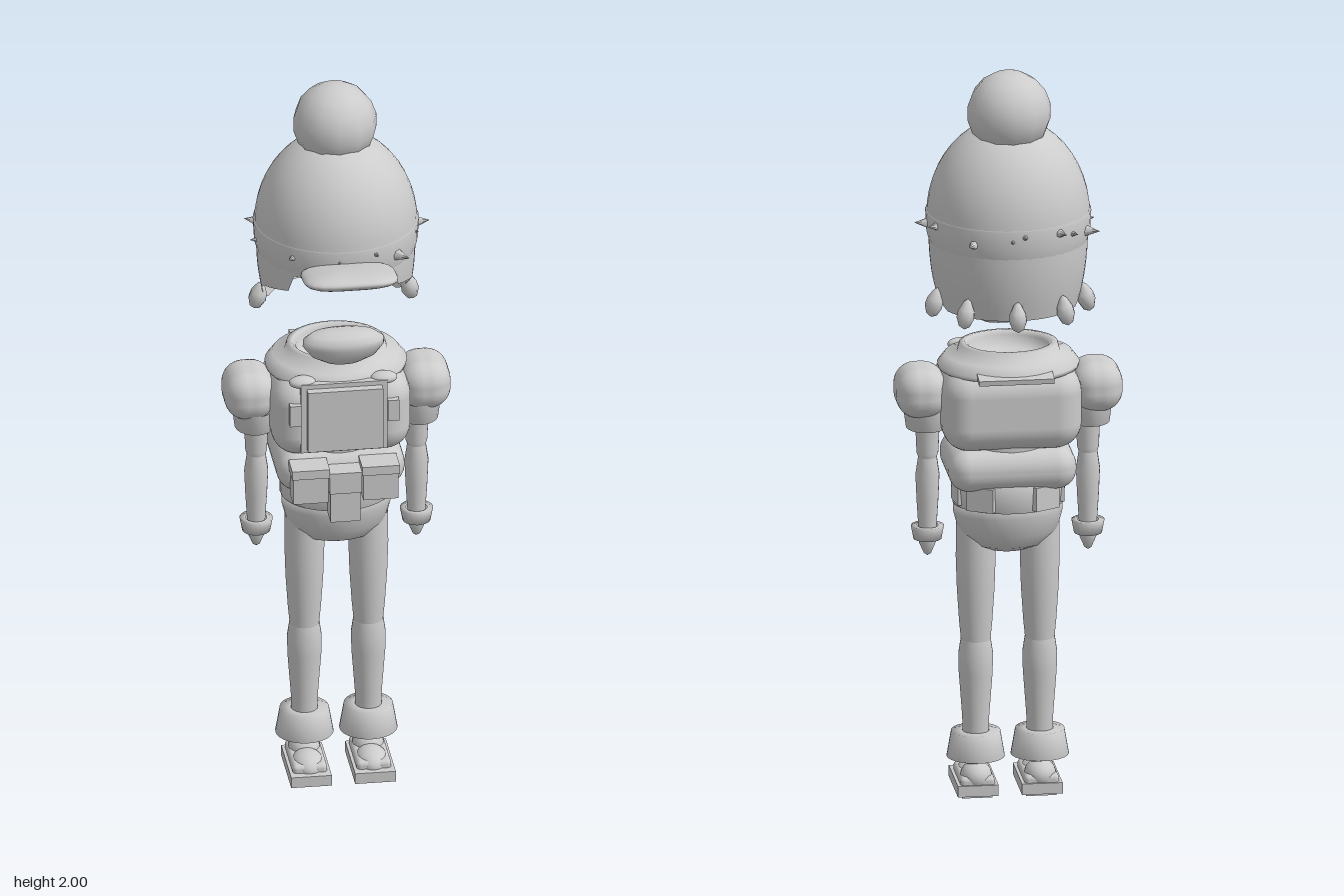
import * as THREE from 'three';
import { RoundedBoxGeometry } from 'three/addons/geometries/RoundedBoxGeometry.js';

const grey = new THREE.MeshStandardMaterial({ color: 0xcccccc, side: THREE.DoubleSide });
grey.name = 'light grey';

function add(parent, name, geometry, x = 0, y = 0, z = 0) {
  const mesh = new THREE.Mesh(geometry, grey);
  mesh.name = name;
  mesh.position.set(x, y, z);
  parent.add(mesh);
  return mesh;
}

// Turned solid from [radius, height] pairs, squashed in depth
function turned(points, depth = 1, sides = 32) {
  const profile = points.map(([r, y]) => new THREE.Vector2(r, y));
  return new THREE.LatheGeometry(profile, sides).scale(1, 1, depth);
}

const box = (w, h, d) => new THREE.BoxGeometry(w, h, d);
const rounded = (w, h, d, r) => new RoundedBoxGeometry(w, h, d, 4, r);
const ball = (rx, ry, rz, n = 20) => new THREE.SphereGeometry(1, n, Math.ceil(n * 0.7)).scale(rx, ry, rz);

// Ear and neck flap: open shell whose lower edge drops towards the back
function flapGeometry() {
  const cols = 64, rows = 6, pos = [], index = [];
  const edge = (z) => {
    if (z > 0.09) return 1.53;
    if (z > -0.02) return 1.45 + (z + 0.02) * 0.3;
    return Math.max(1.36, 1.45 + (z + 0.02) * 0.82);
  };
  for (let i = 0; i <= cols; i++) {
    const a = (i / cols) * Math.PI * 2;
    const low = edge(-0.062 + 0.2 * Math.cos(a));
    for (let j = 0; j <= rows; j++) {
      const y = 1.55 + (low - 1.55) * (j / rows);
      const r = 0.21 - 0.75 * (1.55 - y) ** 2;
      pos.push(r * Math.sin(a), y, -0.062 + r * 0.97 * Math.cos(a));
    }
  }
  for (let i = 0; i < cols; i++) for (let j = 0; j < rows; j++) {
    const a = i * (rows + 1) + j, b = a + rows + 1;
    index.push(a, a + 1, b, b, a + 1, b + 1);
  }
  const g = new THREE.BufferGeometry();
  g.setAttribute('position', new THREE.Float32BufferAttribute(pos, 3));
  g.setIndex(index);
  g.computeVertexNormals();
  return g;
}

function buildHat(root) {
  const hat = new THREE.Group();
  hat.name = 'hat';
  root.add(hat);
  const dome = [];
  for (let i = 0; i <= 12; i++) {
    const t = (i / 12) * Math.PI / 2;
    dome.push([0.216 * Math.cos(t), 1.6 + 0.262 * Math.sin(t)]);
  }
  add(hat, 'hatDome', turned(dome, 0.97, 40), 0, 0, -0.062);
  add(hat, 'hatBand', turned([[0.208, 1.53], [0.216, 1.56], [0.219, 1.615], [0.21, 1.62]], 0.97, 40), 0, 0, -0.062);
  add(hat, 'neckFlap', flapGeometry());
  add(hat, 'pompom', ball(0.112, 0.112, 0.112, 12), 0, 1.888, -0.08);

  // Peak with a rounded-square outline
  const peak = ball(0.125, 0.026, 0.1, 32);
  const p = peak.attributes.position;
  for (let i = 0; i < p.count; i++) {
    const u = p.getX(i) / 0.125, v = p.getZ(i) / 0.1, r = Math.hypot(u, v);
    if (r < 1e-5) continue;
    const k = r / Math.pow(u ** 4 + v ** 4, 0.25);
    p.setX(i, p.getX(i) * k);
    p.setZ(i, p.getZ(i) * k);
  }
  peak.computeVertexNormals();
  add(hat, 'peak', peak, 0, 1.57, 0.195).rotation.x = -0.2;

  // Small tufts sticking out around the band
  const tufts = [[-0.02, -0.29], [0.015, -0.285], [0.13, -0.265], [-0.13, -0.265], [-0.165, -0.225],
    [-0.23, -0.165], [0.225, -0.15], [0.25, -0.065], [-0.232, -0.04], [0.21, 0.02],
    [-0.15, 0.115], [0.17, 0.125], [0.085, 0.148], [-0.02, 0.156]];
  tufts.forEach(([x, z], i) => {
    const out = new THREE.Vector3(x, 0.01, z + 0.062).normalize();
    const m = add(hat, 'bandTuft', new THREE.ConeGeometry(0.022, 0.055, 7).translate(0, -0.0275, 0),
      x, 1.6 - (i % 3) * 0.012, z);
    m.quaternion.setFromUnitVectors(new THREE.Vector3(0, 1, 0), out);
  });

  // Larger tufts hanging along the lower back edge
  for (const deg of [-78, -40, 0, 40, 78]) {
    const a = THREE.MathUtils.degToRad(deg);
    const tuft = turned([[0, -0.042], [0.015, -0.034], [0.024, -0.012], [0.022, 0.008], [0.01, 0.032], [0, 0.04]], 1, 9);
    const m = add(hat, 'lowerTuft', tuft, 0.205 * Math.sin(a), 1.38, -0.062 - 0.205 * Math.cos(a));
    m.rotation.set(0.25, -a, 0, 'YXZ');
  }
}

function buildTorso(root) {
  add(root, 'chinGuard', turned([[0, -0.048], [0.045, -0.042], [0.085, -0.022], [0.108, 0.008],
    [0.107, 0.025], [0.085, 0.041], [0.045, 0.048], [0, 0.049]], 0.47, 28), 0, 1.305, 0.08);
  add(root, 'chest', rounded(0.37, 0.225, 0.3, 0.07), 0, 1.09, -0.054);
  // Neck ring and its flange
  add(root, 'collar', turned([[0, 1.2], [0.1, 1.205], [0.105, 1.24], [0.115, 1.252], [0.13, 1.25],
    [0.137, 1.225], [0.168, 1.222], [0.188, 1.196], [0.186, 1.185], [0.15, 1.18]], 0.88, 40), 0, 0, -0.064);
  add(root, 'collarBackTab', box(0.2, 0.014, 0.05), 0, 1.195, -0.218).rotation.x = -0.15;

  add(root, 'chestPanel', box(0.2, 0.175, 0.04), 0, 1.108, 0.105);
  add(root, 'chestPanelBase', box(0.23, 0.2, 0.02), 0, 1.108, 0.092);
  for (const s of [-1, 1]) {
    add(root, 'collarClasp', ball(0.036, 0.016, 0.025), s * 0.108, 1.205, 0.075);
    add(root, 'chestBuckle', box(0.03, 0.06, 0.025), s * 0.13, 1.12, 0.095);
  }

  add(root, 'waist', rounded(0.34, 0.115, 0.28, 0.054), 0, 0.925, -0.06);
  add(root, 'waistCore', turned([[0.14, 0.84], [0.14, 1.02]], 0.8), 0, 0, -0.06);
  add(root, 'belt', turned([[0.13, 0.81], [0.147, 0.812], [0.153, 0.885], [0.12, 0.886]], 0.88, 36), 0, 0, -0.06);
  add(root, 'pelvis', turned([[0, 0.675], [0.05, 0.679], [0.1, 0.698], [0.132, 0.735], [0.145, 0.785],
    [0.147, 0.83], [0, 0.83]], 0.72, 32), 0, 0, -0.055);

  // Front pouches with lids
  for (const s of [-1, 1]) {
    add(root, 'sidePouch', box(0.094, 0.092, 0.065), s * 0.093, 0.918, 0.098);
    add(root, 'sidePouchLid', box(0.1, 0.025, 0.072), s * 0.093, 0.958, 0.098);
    // Hip and rear pouches
    add(root, 'hipPouch', box(0.07, 0.06, 0.016), s * 0.138, 0.85, -0.085).rotation.y = s * 1.7;
    add(root, 'rearPouch', box(0.075, 0.065, 0.022), s * 0.085, 0.85, -0.17).rotation.y = Math.PI - s * 0.5;
  }
  add(root, 'middlePouch', box(0.08, 0.145, 0.06), 0, 0.882, 0.095);
  add(root, 'middlePouchLid', box(0.086, 0.06, 0.068), 0, 0.925, 0.096);
}

function buildArm(side) {
  const arm = new THREE.Group();
  arm.name = side > 0 ? 'leftArm' : 'rightArm';
  arm.position.set(side * 0.213, 0, -0.052);
  add(arm, 'shoulder', rounded(0.135, 0.135, 0.172, 0.058), side * 0.02, 1.125, -0.006);
  add(arm, 'sleeve', turned([[0.04, 1.02], [0.052, 1.02], [0.06, 1.08]], 1.15, 20), side * 0.005, 0, 0);
  add(arm, 'upperArm', turned([[0.024, 0.935], [0.029, 0.95], [0.033, 1.04]], 1, 16));
  add(arm, 'elbow', ball(0.025, 0.02, 0.025, 14), 0, 0.938, 0);
  add(arm, 'forearm', turned([[0.024, 0.74], [0.029, 0.82], [0.032, 0.89], [0.025, 0.937]], 1, 16));
  add(arm, 'wristCuff', turned([[0, 0.712], [0.037, 0.712], [0.044, 0.748], [0.028, 0.748]], 1, 20));
  add(arm, 'hand', turned([[0, 0.665], [0.01, 0.672], [0.022, 0.7], [0.022, 0.72]], 1, 12));
  return arm;
}

function buildLeg(side) {
  const leg = new THREE.Group();
  leg.name = side > 0 ? 'leftLeg' : 'rightLeg';
  leg.position.set(side * 0.085, 0, -0.052);
  add(leg, 'thigh', turned([[0.039, 0.428], [0.044, 0.48], [0.05, 0.57], [0.053, 0.66], [0.052, 0.75]], 1, 24));
  add(leg, 'calf', turned([[0.034, 0.16], [0.036, 0.22], [0.045, 0.34], [0.046, 0.39], [0.04, 0.43]], 1, 24));
  add(leg, 'bootCuff', turned([[0.062, 0.11], [0.077, 0.108], [0.065, 0.178], [0.035, 0.178]], 1, 28));
  add(leg, 'ankle', turned([[0.026, 0.07], [0.026, 0.1], [0.036, 0.18]], 1, 16));
  // Shoe: heel dome, toe cap, sole
  add(leg, 'shoeHeel', ball(0.042, 0.04, 0.048), 0, 0.055, -0.008);
  add(leg, 'shoeToe', ball(0.044, 0.036, 0.06), 0, 0.042, 0.062);
  add(leg, 'shoeBody', rounded(0.092, 0.03, 0.165, 0.012), 0, 0.046, 0.032);
  add(leg, 'sole', box(0.108, 0.03, 0.192), 0, 0.025, 0.041);
  add(leg, 'soleTread', box(0.08, 0.012, 0.15), 0, 0.006, 0.041);
  return leg;
}

export function createModel() {
  const root = new THREE.Group();
  root.name = 'figure';
  buildHat(root);
  buildTorso(root);
  for (const s of [-1, 1]) root.add(buildArm(s), buildLeg(s));
  return root;
}
